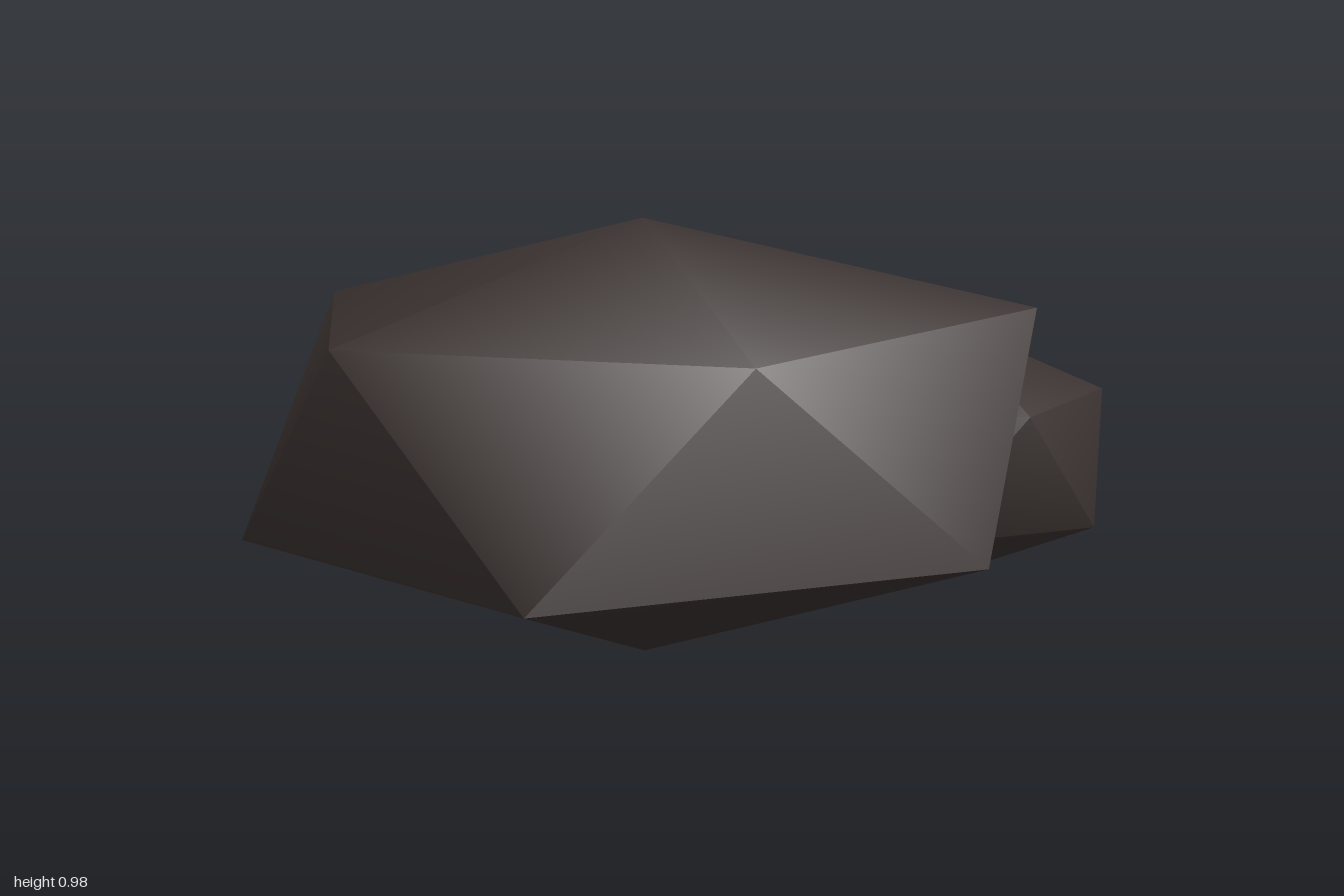
import * as THREE from 'three';
import { toCreasedNormals } from 'three/addons/utils/BufferGeometryUtils.js';

// Twenty-sided rock: a top point, two rings of five and a bottom point.
function rockGeometry(top, upper, lower, bottom) {
  const points = [top, ...upper, ...lower, bottom];
  const index = [];
  for (let i = 0; i < 5; i++) {
    const j = (i + 1) % 5;
    const u0 = 1 + i, u1 = 1 + j, l0 = 6 + i, l1 = 6 + j;
    index.push(0, u1, u0, u0, u1, l0, u1, l1, l0, 11, l0, l1);
  }
  const geometry = new THREE.BufferGeometry();
  geometry.setAttribute('position', new THREE.Float32BufferAttribute(points.flat(), 3));
  geometry.setIndex(index);
  return toCreasedNormals(geometry.toNonIndexed(), Math.PI / 3);
}

// Regular ring of five points around a centre.
function ring(cx, y, cz, rx, rz, start) {
  return Array.from({ length: 5 }, (_, i) => {
    const a = start + (i * Math.PI * 2) / 5;
    return [cx + rx * Math.cos(a), y, cz + rz * Math.sin(a)];
  });
}

export function createModel() {
  const group = new THREE.Group();
  group.name = 'rocks';
  const stone = new THREE.MeshStandardMaterial({ color: 0x3a3230 });

  const add = (name, geometry) => {
    const mesh = new THREE.Mesh(geometry, stone);
    mesh.name = name;
    group.add(mesh);
  };

  // Large, slightly irregular rock
  add('largeRock', rockGeometry(
    [-0.11, 0.98, 0],
    [[0.77, 0.775, 0], [0.08, 0.73, 0.55], [-0.75, 0.75, 0.38], [-0.83, 0.775, -0.45], [0.15, 0.765, -0.67]],
    [[0.58, 0.285, 0.41], [-0.37, 0.28, 0.68], [-1, 0.275, 0], [-0.37, 0.28, -0.69], [0.61, 0.28, -0.44]],
    [-0.11, 0, 0]
  ));

  // Small regular rock leaning into its back left side
  add('smallRock', rockGeometry(
    [0.61, 0.72, -0.245],
    ring(0.61, 0.55, -0.245, 0.39, 0.39, 0),
    ring(0.61, 0.265, -0.245, 0.39, 0.39, Math.PI / 5),
    [0.61, 0.09, -0.245]
  ));

  return group;
}
